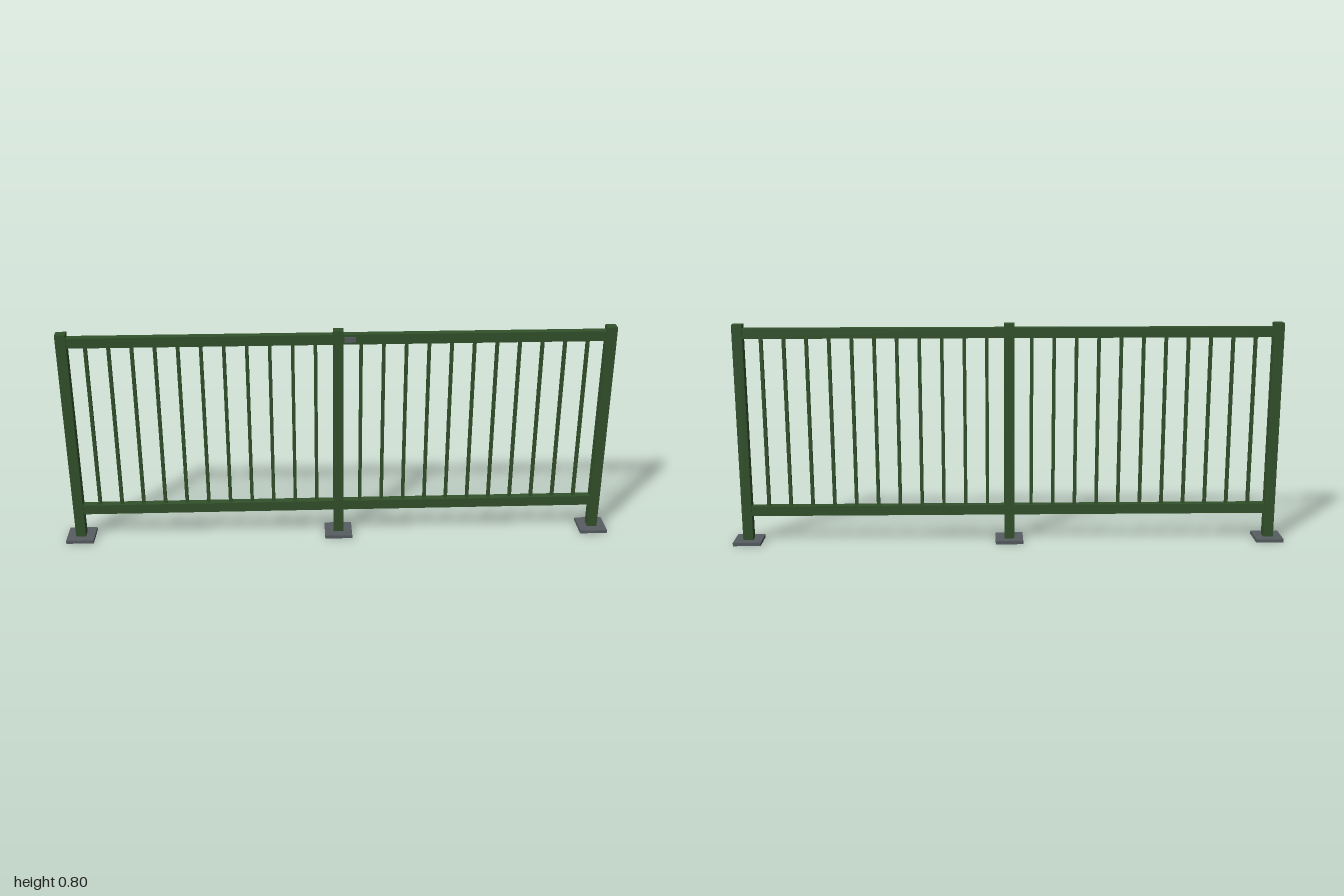
import * as THREE from 'three';

const SPAN = 0.95;      // distance between posts
const BALUSTERS = 11;   // per panel

export function createModel() {
  const model = new THREE.Group();
  model.name = 'railing';
  const green = new THREE.MeshStandardMaterial({ color: 0x33522b });
  green.name = 'green paint';
  const steel = new THREE.MeshStandardMaterial({ color: 0x565d61 });
  steel.name = 'grey steel';

  const box = (parent, name, material, size, position) => {
    const mesh = new THREE.Mesh(new THREE.BoxGeometry(...size), material);
    mesh.name = name;
    mesh.position.set(...position);
    parent.add(mesh);
  };

  // Square posts on bolted base plates
  for (const x of [-SPAN, 0, SPAN]) {
    const post = new THREE.Group();
    post.name = 'post';
    post.position.x = x;
    box(post, 'basePlate', steel, [0.1, 0.012, 0.1], [0, 0.006, 0]);
    box(post, 'postTube', green, [0.036, 0.788, 0.036], [0, 0.406, 0]);
    model.add(post);
  }

  // Two panels of rails and balusters between the posts
  for (const side of [-1, 1]) {
    const panel = new THREE.Group();
    panel.name = side < 0 ? 'rightPanel' : 'leftPanel';
    const length = SPAN - 0.036;
    box(panel, 'topRail', green, [length, 0.036, 0.028], [side * SPAN / 2, 0.768, 0]);
    box(panel, 'bottomRail', green, [length, 0.036, 0.028], [side * SPAN / 2, 0.12, 0]);
    for (let i = 1; i <= BALUSTERS; i++) {
      const x = side * SPAN * i / (BALUSTERS + 1);
      box(panel, 'baluster', green, [0.012, 0.612, 0.012], [x, 0.444, 0]);
    }
    model.add(panel);
  }

  // Small plate on the front of the top rail beside the middle post
  box(model, 'railPlate', steel, [0.04, 0.02, 0.003], [0.04, 0.768, 0.0155]);

  return model;
}
